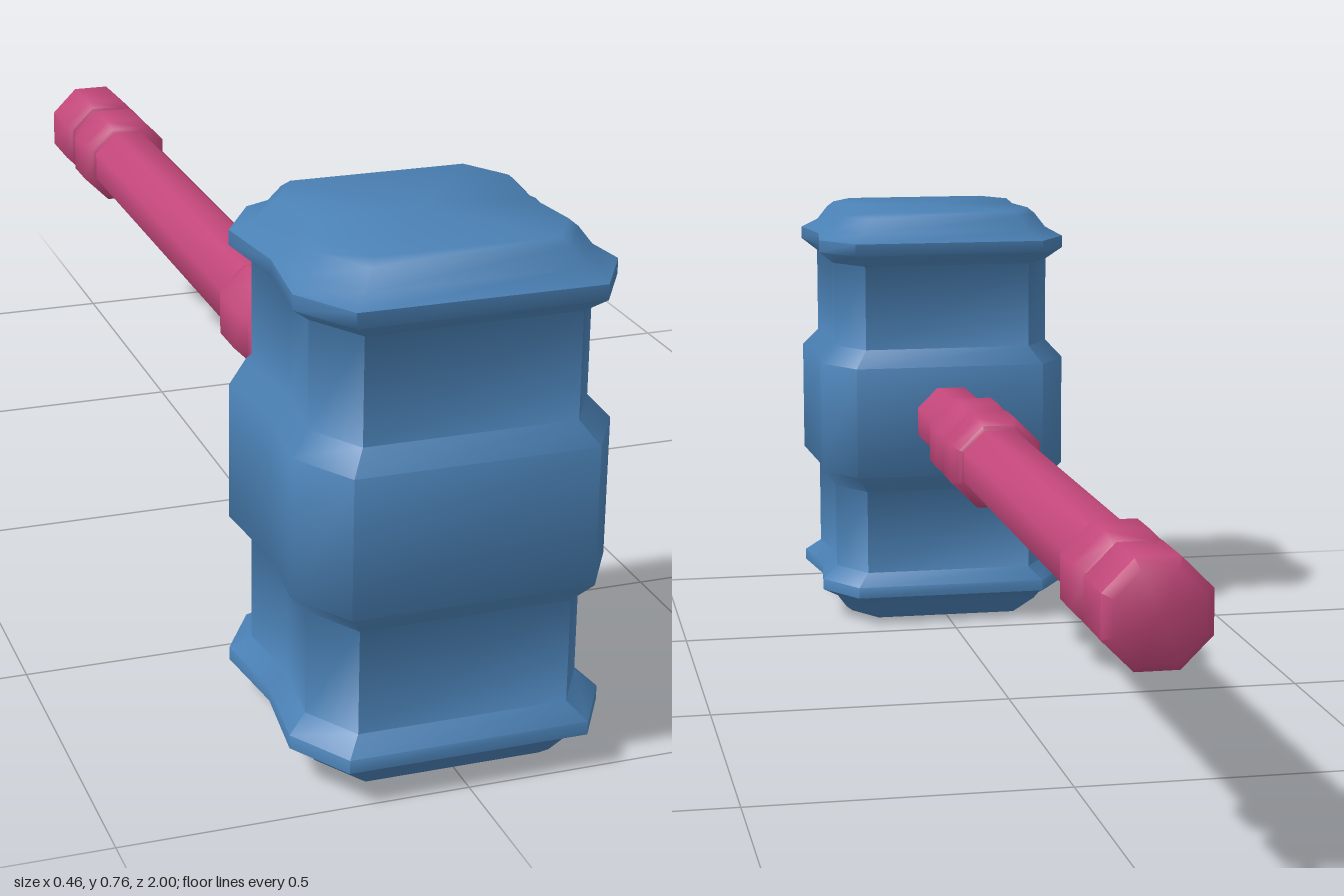
import * as THREE from 'three';
import { toCreasedNormals } from 'three/addons/utils/BufferGeometryUtils.js';

// Unit cross-section of the head: bevelled square with pinched left and right sides, [x, z]
const SECTION = [
  [0.93, 0], [1, -0.6], [0.76, -1], [-0.76, -1], [-1, -0.6],
  [-0.93, 0], [-1, 0.6], [-0.76, 1], [0.76, 1], [1, 0.6],
];

// Stack the section along y; each level is [half width, y]
function stackSections(levels) {
  const n = SECTION.length;
  const positions = [];
  const index = [];
  for (const [r, y] of levels) {
    for (const [x, z] of SECTION) positions.push(x * r, y, z * r * 0.985);
  }
  for (let j = 0; j < levels.length - 1; j++) {
    for (let i = 0; i < n; i++) {
      const a = j * n + i;
      const b = j * n + (i + 1) % n;
      index.push(a, b, b + n, a, b + n, a + n);
    }
  }
  // End caps
  const top = (levels.length - 1) * n;
  const bottomCentre = levels.length * n;
  positions.push(0, levels[0][1], 0, 0, levels[levels.length - 1][1], 0);
  for (let i = 0; i < n; i++) {
    const k = (i + 1) % n;
    index.push(bottomCentre, k, i, bottomCentre + 1, top + i, top + k);
  }
  const geometry = new THREE.BufferGeometry();
  geometry.setAttribute('position', new THREE.Float32BufferAttribute(positions, 3));
  geometry.setIndex(index);
  return toCreasedNormals(geometry, 1.0);
}

// Eight-sided turned rod along z; each point is [half width across flats, z]
function turnedRod(profile) {
  const points = profile.map(([r, z]) => new THREE.Vector2(r / Math.cos(Math.PI / 8), z));
  const geometry = new THREE.LatheGeometry(points, 8, Math.PI / 8);
  geometry.rotateX(Math.PI / 2);
  return toCreasedNormals(geometry, 0.95);
}

export function createModel() {
  const model = new THREE.Group();
  model.name = 'mallet';
  const blue = new THREE.MeshStandardMaterial({ color: 0x4a80b4 });
  const pink = new THREE.MeshStandardMaterial({ color: 0xc2477a });

  // Head with flared ends and a wide middle band
  const head = new THREE.Mesh(stackSections([
    [0.17, 0], [0.182, 0.01], [0.2, 0.035], [0.229, 0.052], [0.229, 0.072], [0.201, 0.094],
    [0.201, 0.248], [0.229, 0.28], [0.229, 0.483], [0.201, 0.514],
    [0.201, 0.668], [0.229, 0.69], [0.229, 0.712], [0.2, 0.728], [0.182, 0.753], [0.17, 0.763],
  ]), blue);
  head.name = 'head';
  head.position.z = 0.775;
  model.add(head);

  // Handle with a pair of rings near the head, a grip ring and an end knob
  const handle = new THREE.Mesh(turnedRod([
    [0, -1], [0.062, -1], [0.076, -0.985], [0.076, -0.885], [0.067, -0.868], [0.061, -0.866],
    [0.061, -0.85], [0.067, -0.845], [0.077, -0.815], [0.077, -0.745], [0.067, -0.722], [0.061, -0.718],
    [0.061, 0.08], [0.068, 0.084], [0.077, 0.115], [0.077, 0.185], [0.065, 0.21],
    [0.065, 0.235], [0.077, 0.26], [0.077, 0.325], [0.068, 0.352], [0.061, 0.356],
    [0.061, 0.6],
  ]), pink);
  handle.name = 'handle';
  handle.position.y = 0.383;
  model.add(handle);

  return model;
}
